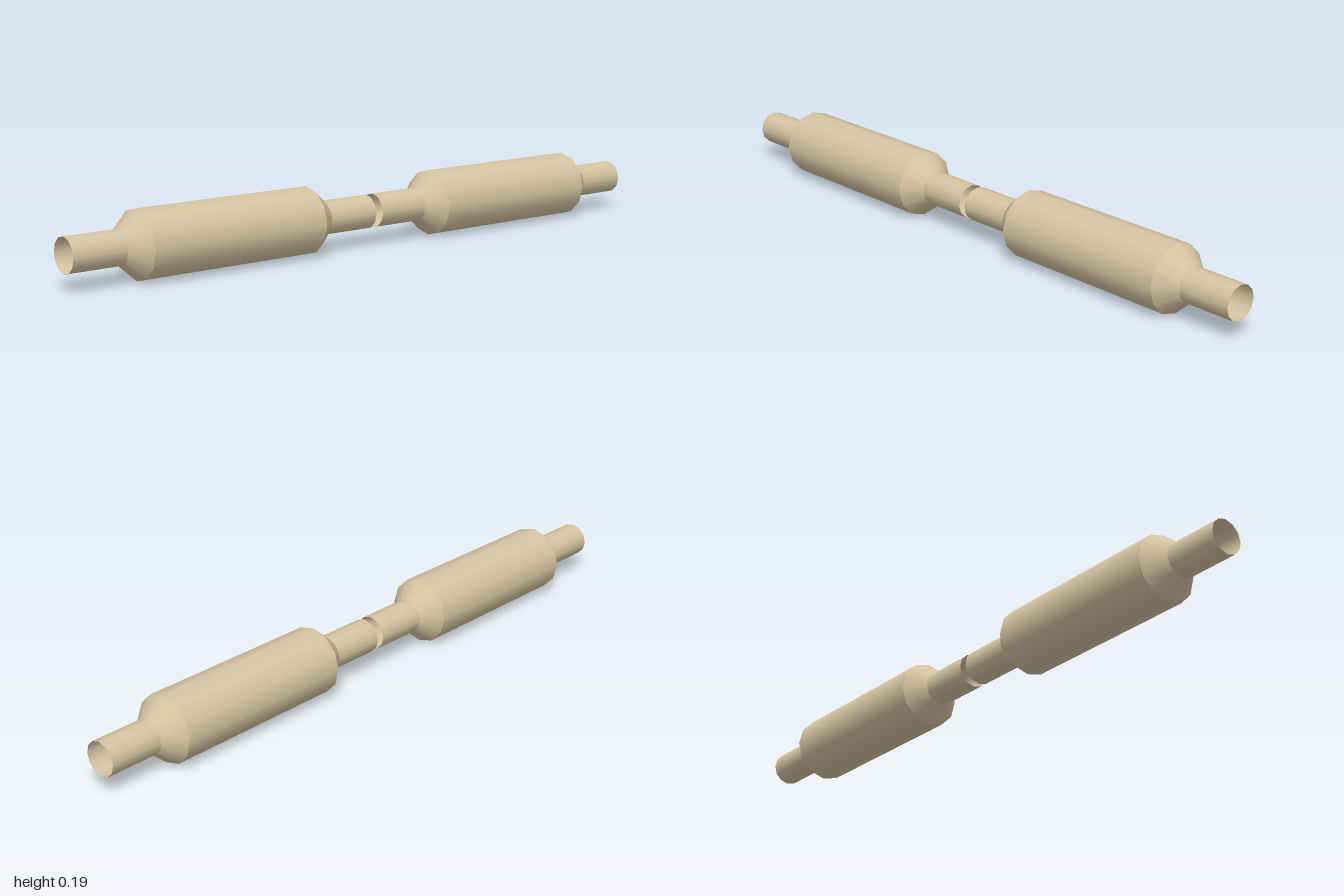
import * as THREE from 'three';

const SIDES = 12;
const BODY_R = 0.0975;
const PIPE_R = 0.05;

// Stations along x, outward from the middle gap: [name, x0, x1, r0, r1]
const SECTIONS = [
  ['innerPipe', 0.012, 0.173, PIPE_R, PIPE_R],
  ['innerCone', 0.173, 0.228, PIPE_R, BODY_R],
  ['canister', 0.228, 0.785, BODY_R, BODY_R],
  ['outerCone', 0.785, 0.84, BODY_R, PIPE_R],
  ['outerPipe', 0.84, 1, PIPE_R, PIPE_R],
];

export function createModel() {
  const model = new THREE.Group();
  model.name = 'pairOfMufflers';
  const material = new THREE.MeshStandardMaterial({ color: 0xd4c3a0, side: THREE.DoubleSide });

  // Two identical open-ended mufflers laid end to end
  for (const [name, side] of [['leftMuffler', 1], ['rightMuffler', -1]]) {
    const muffler = new THREE.Group();
    muffler.name = name;
    muffler.position.y = BODY_R;
    // Separate open tubes keep the rims sharp and the walls smooth
    for (const [part, x0, x1, r0, r1] of SECTIONS) {
      const geometry = new THREE.CylinderGeometry(r1, r0, x1 - x0, SIDES, 1, true);
      geometry.rotateZ(-Math.PI / 2 * side);
      geometry.translate(side * (x0 + x1) / 2, 0, 0);
      const mesh = new THREE.Mesh(geometry, material);
      mesh.name = part;
      muffler.add(mesh);
    }
    model.add(muffler);
  }
  return model;
}
